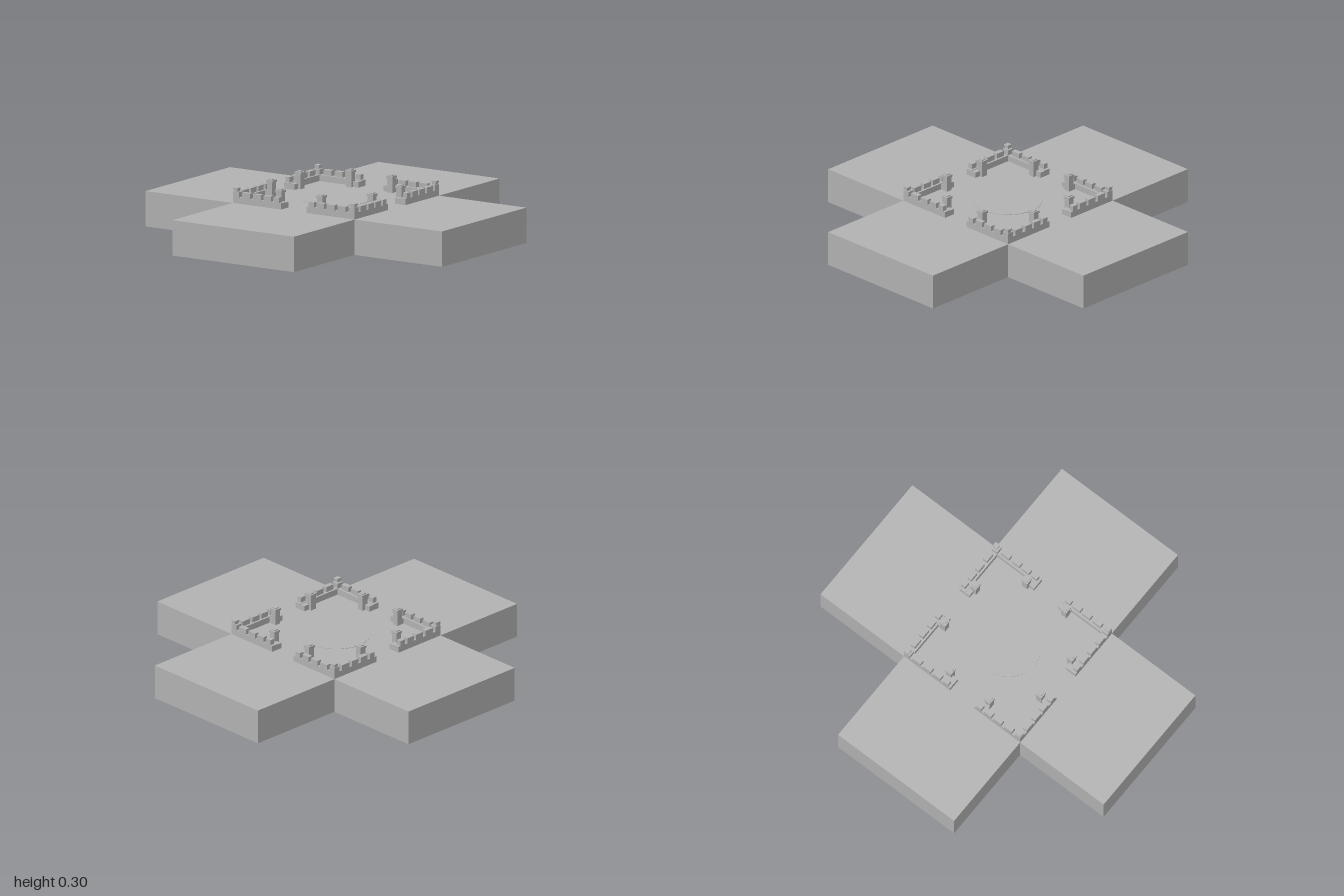
import * as THREE from 'three';

export function createModel() {
  const model = new THREE.Group();
  const stone = new THREE.MeshStandardMaterial({ color: 0xb2b2b2 });
  stone.name = 'greyStone';
  const W = 0.41, FLOOR = 0.203;

  function add(parent, name, geometry) {
    const mesh = new THREE.Mesh(geometry, stone);
    mesh.name = name;
    parent.add(mesh);
    return mesh;
  }
  // Box given by its lower and upper corners
  function block(parent, name, x0, x1, y0, y1, z0, z1) {
    const mesh = add(parent, name, new THREE.BoxGeometry(x1 - x0, y1 - y0, z1 - z0));
    mesh.position.set((x0 + x1) / 2, (y0 + y1) / 2, (z0 + z1) / 2);
  }

  // Cross-shaped slab
  const plus = new THREE.Shape([
    [W, -1], [W, -W], [1, -W], [1, W], [W, W], [W, 1],
    [-W, 1], [-W, W], [-1, W], [-1, -W], [-W, -W], [-W, -1],
  ].map(([x, y]) => new THREE.Vector2(x, y)));
  const slab = new THREE.ExtrudeGeometry(plus, { depth: FLOOR - 0.003, bevelEnabled: false });
  slab.rotateX(-Math.PI / 2);
  add(model, 'crossSlab', slab).position.y = 0.003;

  // Shallow round plaza on top and ring underneath
  add(model, 'plazaDisc', new THREE.CylinderGeometry(0.19, 0.19, 0.003, 48)).position.y = FLOOR + 0.0005;
  const ringShape = new THREE.Shape().absarc(0, 0, 0.195, 0, Math.PI * 2);
  ringShape.holes.push(new THREE.Path().absarc(0, 0, 0.16, 0, Math.PI * 2, true));
  const ring = new THREE.ExtrudeGeometry(ringShape, { depth: 0.004, bevelEnabled: false, curveSegments: 32 });
  ring.rotateX(-Math.PI / 2);
  add(model, 'undersideRing', ring);

  // One battlemented wall along +z, running from the gate to the corner
  function wall() {
    const g = new THREE.Group();
    g.name = 'wall';
    block(g, 'wallBase', 0.085, W, FLOOR, 0.238, 0.37, W);
    block(g, 'gateFooting', 0.085, 0.155, FLOOR, 0.235, 0.34, 0.375);
    for (const [a, b] of [[0.1, 0.135], [0.155, 0.205], [0.222, 0.275], [0.295, 0.35]]) {
      block(g, 'merlon', a, b, 0.236, 0.268, 0.382, W);
    }
    // Watch tower beside the gate
    const x = 0.138, z = 0.34;
    block(g, 'towerShaft', x - 0.018, x + 0.018, FLOOR, 0.286, z - 0.018, z + 0.018);
    block(g, 'towerCap', x - 0.022, x + 0.022, 0.284, 0.298, z - 0.022, z + 0.022);
    block(g, 'towerTop', x - 0.013, x + 0.013, 0.297, 0.303, z - 0.013, z + 0.013);
    return g;
  }

  // Four corners, each with two walls mirrored about the diagonal
  for (let i = 0; i < 4; i++) {
    const corner = new THREE.Group();
    corner.name = 'cornerFort';
    const side = wall();
    side.rotation.y = Math.PI / 2;
    side.scale.x = -1;
    corner.add(wall(), side);
    block(corner, 'cornerMerlon', 0.37, W, 0.236, 0.268, 0.37, W);
    block(corner, 'cornerPost', 0.383, 0.407, 0.266, 0.28, 0.383, 0.407);
    block(corner, 'cornerPostCap', 0.38, W, 0.278, 0.29, 0.38, W);
    corner.rotation.y = i * Math.PI / 2;
    model.add(corner);
  }
  return model;
}
